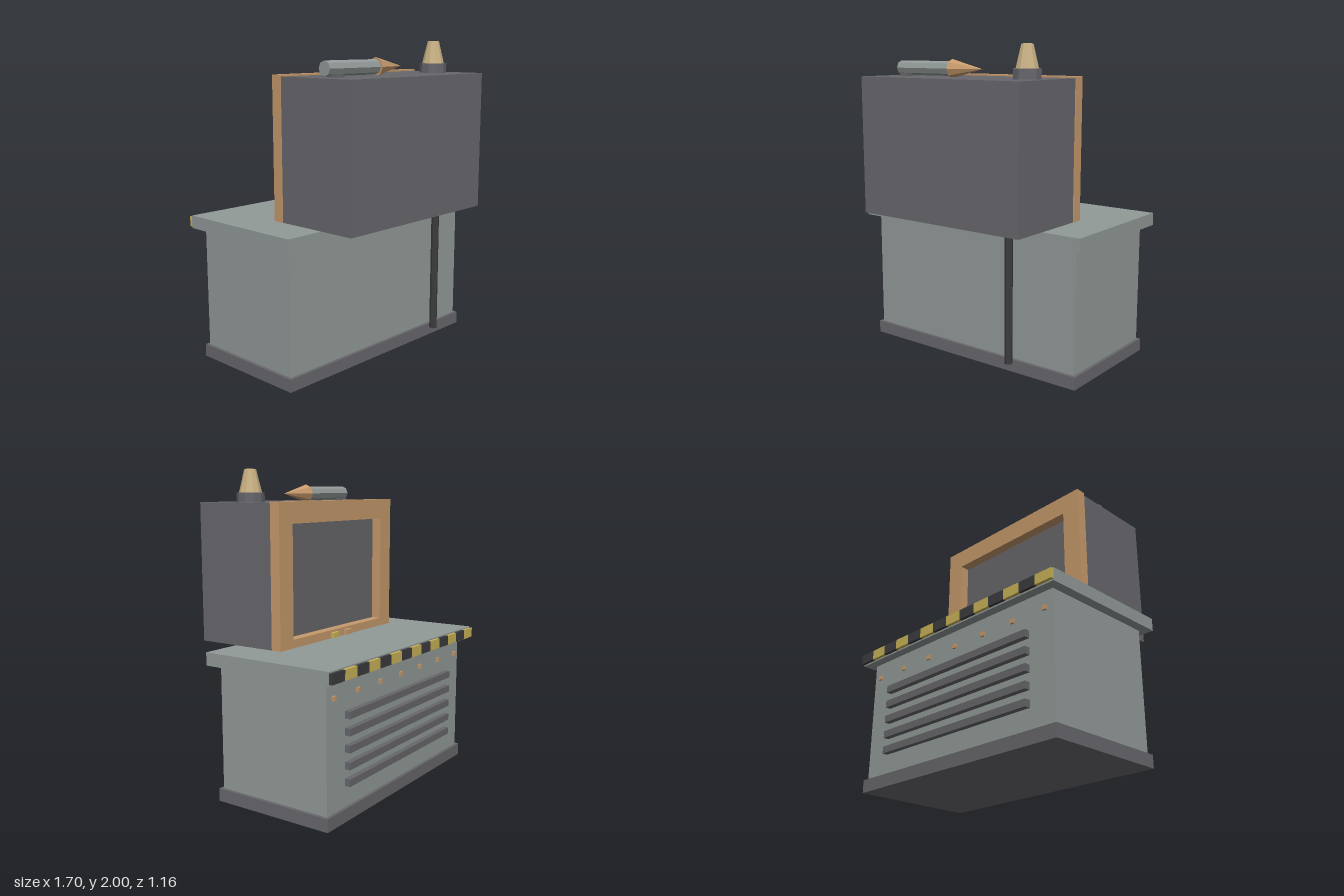
import * as THREE from 'three';

const mat = (name, color) => {
  const m = new THREE.MeshStandardMaterial({ color, flatShading: true });
  m.name = name;
  return m;
};

export function createModel() {
  const grey = mat('greyMetal', 0x929a98);
  const dark = mat('darkMetal', 0x68676c);
  const copper = mat('copper', 0xc79a6c);
  const yellow = mat('yellowPaint', 0xc9b458);
  const black = mat('black', 0x3c3c3f);
  const tan = mat('brass', 0xc9b184);

  const model = new THREE.Group();
  model.name = 'consoleDesk';

  const add = (name, geometry, material, x = 0, y = 0, z = 0) => {
    const mesh = new THREE.Mesh(geometry, material);
    mesh.name = name;
    mesh.position.set(x, y, z);
    model.add(mesh);
    return mesh;
  };
  // Box given by its extents on each axis
  const box = (name, material, [x0, x1], [y0, y1], [z0, z1]) =>
    add(name, new THREE.BoxGeometry(x1 - x0, y1 - y0, z1 - z0), material,
      (x0 + x1) / 2, (y0 + y1) / 2, (z0 + z1) / 2);

  // Cabinet
  box('plinth', dark, [-0.81, 0.81], [0, 0.08], [-0.52, 0.29]);
  box('cabinet', grey, [-0.79, 0.79], [0.08, 0.85], [-0.5, 0.27]);
  box('deskTop', grey, [-0.85, 0.85], [0.85, 0.93], [-0.56, 0.33]);

  // Hazard strip along the rear edge
  const count = 14, w = 1.7 / count;
  for (let i = 0; i < count; i++) {
    const x = -0.85 + i * w;
    box('hazardStripe', i % 2 ? black : yellow, [x, x + w], [0.86, 0.922], [-0.58, -0.56]);
  }

  // Vent slats and rivets
  for (let i = 0; i < 5; i++) {
    const y = 0.23 + i * 0.1;
    box('ventSlat', dark, [-0.61, 0.61], [y - 0.022, y + 0.022], [-0.535, -0.5]);
  }
  for (let i = -3; i <= 3; i++) {
    const x = i * 0.243;
    box('rivet', copper, [x - 0.014, x + 0.014], [0.736, 0.764], [-0.512, -0.5]);
  }

  // Monitor housing
  box('monitorHousing', dark, [-0.608, 0.608], [0.935, 1.8], [0.02, 0.58]);

  // Screen surround with a rectangular opening
  const rect = (path, x, y0, y1) => path.moveTo(-x, y0).lineTo(x, y0).lineTo(x, y1).lineTo(-x, y1).closePath();
  const outline = rect(new THREE.Shape(), 0.616, 0.937, 1.81);
  outline.holes.push(rect(new THREE.Path(), 0.49, 0.99, 1.68));
  add('screenFrame', new THREE.ExtrudeGeometry(outline, { depth: 0.067, bevelEnabled: false }), copper, 0, 0, -0.045);

  // Controls under the screen
  box('yellowButton', yellow, [0.04, 0.1], [0.942, 0.975], [-0.07, -0.045]);
  box('copperButton', copper, [-0.105, -0.045], [0.942, 0.975], [-0.07, -0.045]);

  // Cable hanging below the housing
  add('cable', new THREE.CylinderGeometry(0.025, 0.025, 0.835, 8), black, 0.4, 0.5175, 0.39);

  // Nozzle on the roof
  add('nozzleCollar', new THREE.CylinderGeometry(0.086, 0.086, 0.06, 10), dark, 0.46, 1.83, 0.3);
  add('nozzle', new THREE.CylinderGeometry(0.036, 0.07, 0.14, 10), tan, 0.46, 1.93, 0.3);

  // Pointer lying on the roof
  const shaft = add('pointerShaft', new THREE.CylinderGeometry(0.045, 0.045, 0.43, 8), grey, -0.315, 1.85, 0.3);
  const tip = add('pointerTip', new THREE.ConeGeometry(0.058, 0.235, 8), copper, 0.0175, 1.85, 0.3);
  shaft.rotation.z = tip.rotation.z = -Math.PI / 2;
  box('pointerRest', dark, [-0.488, -0.428], [1.8, 1.815], [0.24, 0.36]);

  return model;
}
